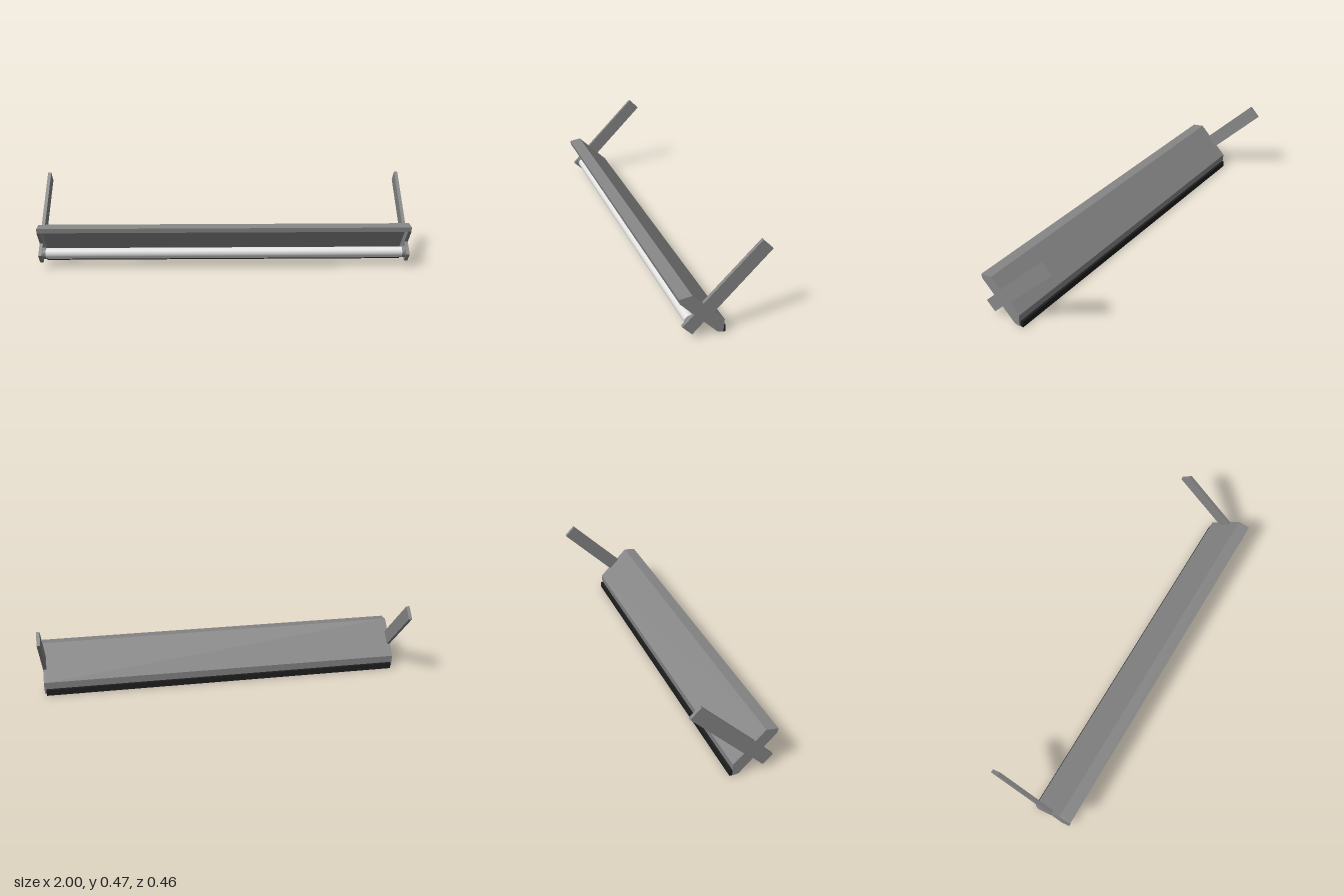
import * as THREE from 'three';

// Extrude a (z, y) outline along x between x0 and x1
function extrudeAlongX(points, x0, x1) {
  const shape = new THREE.Shape(points.map(([z, y]) => new THREE.Vector2(-z, y)));
  const geo = new THREE.ExtrudeGeometry(shape, { depth: x1 - x0, bevelEnabled: false });
  geo.rotateY(Math.PI / 2);
  geo.translate(x0, 0, 0);
  return geo;
}

export function createModel() {
  const model = new THREE.Group();
  model.name = 'tubeLight';

  const metal = new THREE.MeshStandardMaterial({ color: 0x868686 });
  metal.name = 'grey metal';
  const black = new THREE.MeshStandardMaterial({ color: 0x1e1e1e });
  black.name = 'black trim';
  const white = new THREE.MeshStandardMaterial({ color: 0xe4e4e4 });
  white.name = 'white glass';

  const add = (name, geo, mat) => {
    const mesh = new THREE.Mesh(geo, mat);
    mesh.name = name;
    model.add(mesh);
    return mesh;
  };

  // Sloping reflector: back panel with two flared flanges, open to the front
  const reflector = [
    [0.165, 0.239], [0.23, 0.23], [0.226, 0.206], [0.174, 0.213],
    [0.029, 0.068], [0.033, 0.013], [0.005, 0.008], [0, 0.075],
  ];
  add('reflector', extrudeAlongX(reflector, -0.99, 0.99), metal);

  // Cross-shaped end brackets: reflector end cap plus mounting arm
  const bracket = [
    [-0.175, 0.466], [-0.229, 0.412], [0.055, 0.129], [0, 0.075],
    [0.005, 0.008], [0.033, 0.013], [0.105, 0.085], [0.162, 0.028],
    [0.212, 0.077], [0.155, 0.134], [0.226, 0.206], [0.23, 0.23],
    [0.165, 0.239], [0.11, 0.184],
  ];
  add('leftBracket', extrudeAlongX(bracket, 0.982, 1), metal);
  add('rightBracket', extrudeAlongX(bracket, -1, -0.982), metal);

  // Lamp tube and its sockets, lying along x
  const rod = (name, radius, length, x, mat) => {
    const geo = new THREE.CylinderGeometry(radius, radius, length, 32);
    geo.rotateZ(Math.PI / 2);
    add(name, geo, mat).position.set(x, 0.08, 0.16);
  };
  rod('lampTube', 0.027, 1.94, 0, white);
  rod('leftSocket', 0.031, 0.018, 0.974, metal);
  rod('rightSocket', 0.031, 0.018, -0.974, metal);

  // Rubber strip along the lower back edge
  add('rearStrip', new THREE.BoxGeometry(1.98, 0.034, 0.017), black).position.set(0, 0.017, -0.002);

  return model;
}
